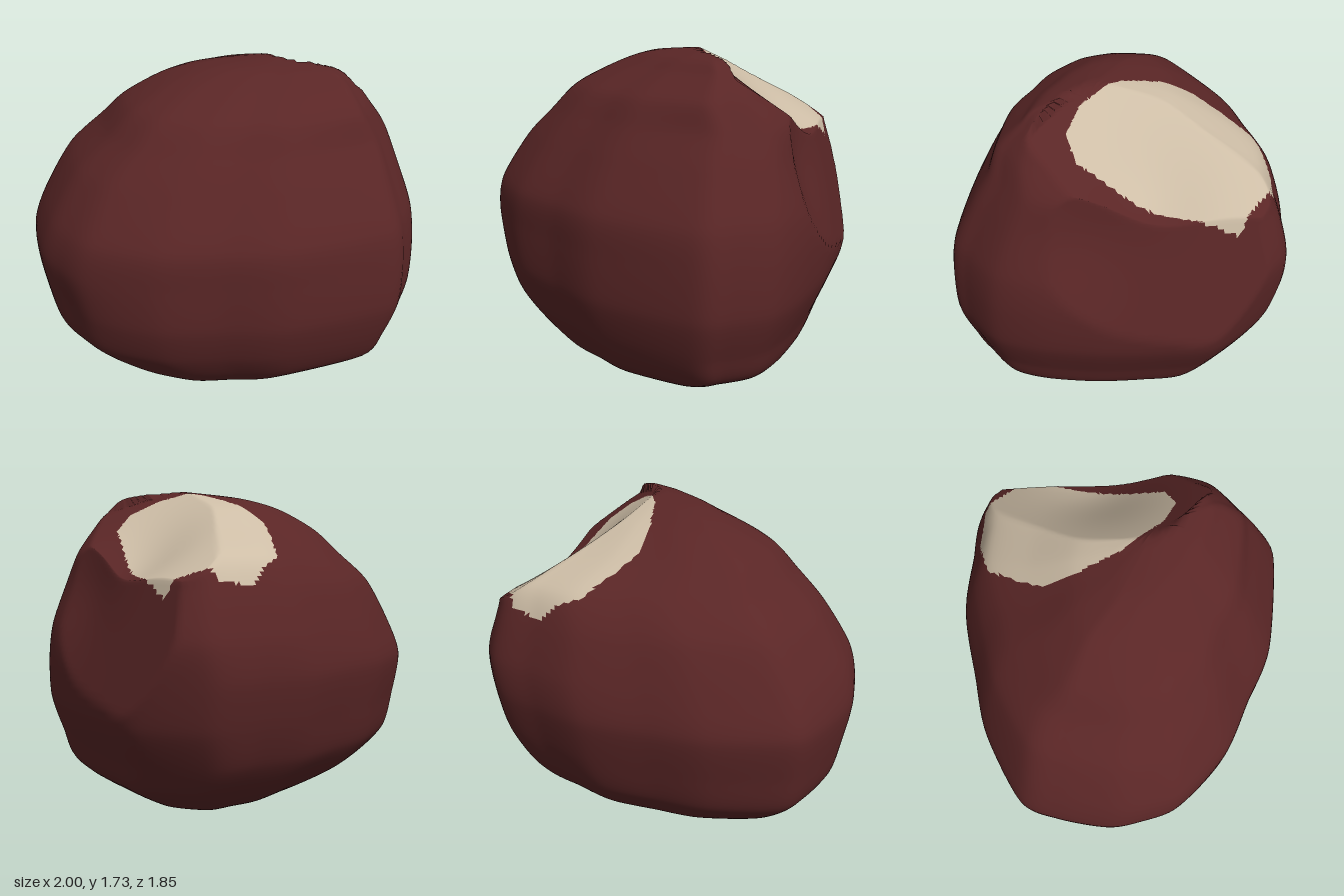
import * as THREE from 'three';

const RING = 180, LEVELS = 104;

// Plan outline of the nut (x, z), starting at the back and passing +x
const OUTLINE = [[-0.02, -0.93], [0.35, -0.87], [0.55, -0.67], [0.75, -0.42], [0.92, -0.14], [1, 0.08],
  [0.97, 0.3], [0.91, 0.46], [0.46, 0.76], [0.15, 0.85], [-0.15, 0.93], [-0.5, 0.91], [-0.68, 0.81],
  [-0.8, 0.7], [-0.94, 0.46], [-1, 0.26], [-0.86, -0.12], [-0.68, -0.37], [-0.48, -0.63], [-0.25, -0.79]];

// Cross-section limits by height: y, xMin, xMax, zMin, zMax
const LEVEL_ROWS = [
  [0, 0.17, 0.17, -0.03, -0.03], [0.04, -0.28, 0.41, -0.22, 0.36], [0.11, -0.5, 0.6, -0.44, 0.61],
  [0.24, -0.75, 0.86, -0.64, 0.74], [0.4, -0.92, 0.93, -0.76, 0.85], [0.6, -0.97, 0.99, -0.86, 0.91],
  [0.83, -1, 0.99, -0.91, 0.92], [1.02, -0.93, 0.96, -0.92, 0.9], [1.25, -0.8, 0.87, -0.85, 0.77],
  [1.4, -0.64, 0.8, -0.78, 0.66], [1.53, -0.5, 0.72, -0.5, 0.55], [1.64, -0.3, 0.63, -0.27, 0.36],
  [1.7, -0.08, 0.54, -0.08, 0.24], [1.74, 0.3, 0.3, 0.04, 0.04]];

// Border of the pale scar in plan (x, z)
const SCAR = [[-0.05, -0.8], [0.2, -0.78], [0.3, -0.65], [0.42, -0.42], [0.55, -0.1], [0.5, 0], [0.35, 0.04],
  [0.1, 0], [-0.1, -0.1], [-0.23, -0.2], [-0.28, -0.38], [-0.3, -0.53], [-0.2, -0.7]];

const spline = (pts, closed) => new THREE.CatmullRomCurve3(pts, closed, 'catmullrom', 0.4);
const bump = (d2, size) => Math.exp(-d2 / (size * size));

function inside(x, z, poly) {
  let hit = false;
  for (let i = 0, j = poly.length - 1; i < poly.length; j = i++) {
    const [xi, zi] = poly[i], [xj, zj] = poly[j];
    if ((zi > z) !== (zj > z) && x < ((xj - xi) * (z - zi)) / (zj - zi) + xi) hit = !hit;
  }
  return hit;
}

// Flattened side, soft hollows and the sunken scar
function sculpt(p) {
  const side = (p.x - p.z) * Math.SQRT1_2;
  const limit = 0.86 - Math.max(0, p.y - 0.6) * 0.275;
  const over = Math.max(0, side - limit);
  const groove = 0.05 * bump((p.x - 0.7) ** 2 + (p.y - 1.2) ** 2 + (p.z + 0.3) ** 2, 0.28);
  const push = (over + groove) * Math.SQRT1_2;
  p.x -= push;
  p.z += push;
  p.z -= 0.03 * bump((p.x + 0.62) ** 2 + (p.y - 0.6) ** 2 + (p.z - 0.8) ** 2, 0.2);
  const scarY = 1.78 - 0.33 * p.x + 0.54 * p.z - 0.1 * bump((p.x - 0.4) ** 2 + (p.z + 0.4) ** 2, 0.28);
  if (p.z < 0.1 && p.y > 1.1) p.y = Math.min(p.y, Math.max(scarY, 1.1));
  return p;
}

function nutGeometry() {
  const outline = spline(OUTLINE.map(([x, z]) => new THREE.Vector3(x, 0, z / 0.93)), true);
  const xCurve = spline(LEVEL_ROWS.map((r) => new THREE.Vector3(r[1], r[0], r[2])), false);
  const zCurve = spline(LEVEL_ROWS.map((r) => new THREE.Vector3(r[3], r[0], r[4])), false);
  const ring = outline.getSpacedPoints(RING).slice(0, RING);
  const pts = [];
  for (let j = 0; j <= LEVELS; j++) {
    const a = xCurve.getPoint(j / LEVELS), b = zCurve.getPoint(j / LEVELS);
    for (const o of ring) {
      pts.push(sculpt(new THREE.Vector3(
        (a.x + a.z) / 2 + (o.x * (a.z - a.x)) / 2, a.y,
        (b.x + b.z) / 2 + (o.z * (b.z - b.x)) / 2)));
    }
  }
  // Sort the faces into shell and scar
  const shell = [], scar = [];
  const addFace = (...f) => {
    const mid = (k) => f.reduce((s, i) => s + pts[i][k], 0) / 3;
    const pale = mid('y') > 1.2 && inside(mid('x'), mid('z'), SCAR);
    (pale ? scar : shell).push(...f);
  };
  for (let j = 0; j < LEVELS; j++) {
    for (let i = 0; i < RING; i++) {
      const n = (i + 1) % RING;
      const a = j * RING + i, b = j * RING + n, c = b + RING, d = a + RING;
      if (j > 0) addFace(a, d, b);
      if (j < LEVELS - 1) addFace(b, d, c);
      else addFace(a, d, b);
    }
  }
  const geo = new THREE.BufferGeometry().setFromPoints(pts);
  geo.setIndex([...shell, ...scar]);
  geo.addGroup(0, shell.length, 0);
  geo.addGroup(shell.length, scar.length, 1);
  geo.computeVertexNormals();
  return geo;
}

export function createModel() {
  const group = new THREE.Group();
  group.name = 'chestnut';
  const shellBrown = new THREE.MeshStandardMaterial({ color: 0x5a2626 });
  shellBrown.name = 'shellBrown';
  const scarCream = new THREE.MeshStandardMaterial({ color: 0xcdbda6 });
  scarCream.name = 'scarCream';
  const nut = new THREE.Mesh(nutGeometry(), [shellBrown, scarCream]);
  nut.name = 'nutShellWithScar';
  group.add(nut);
  return group;
}
